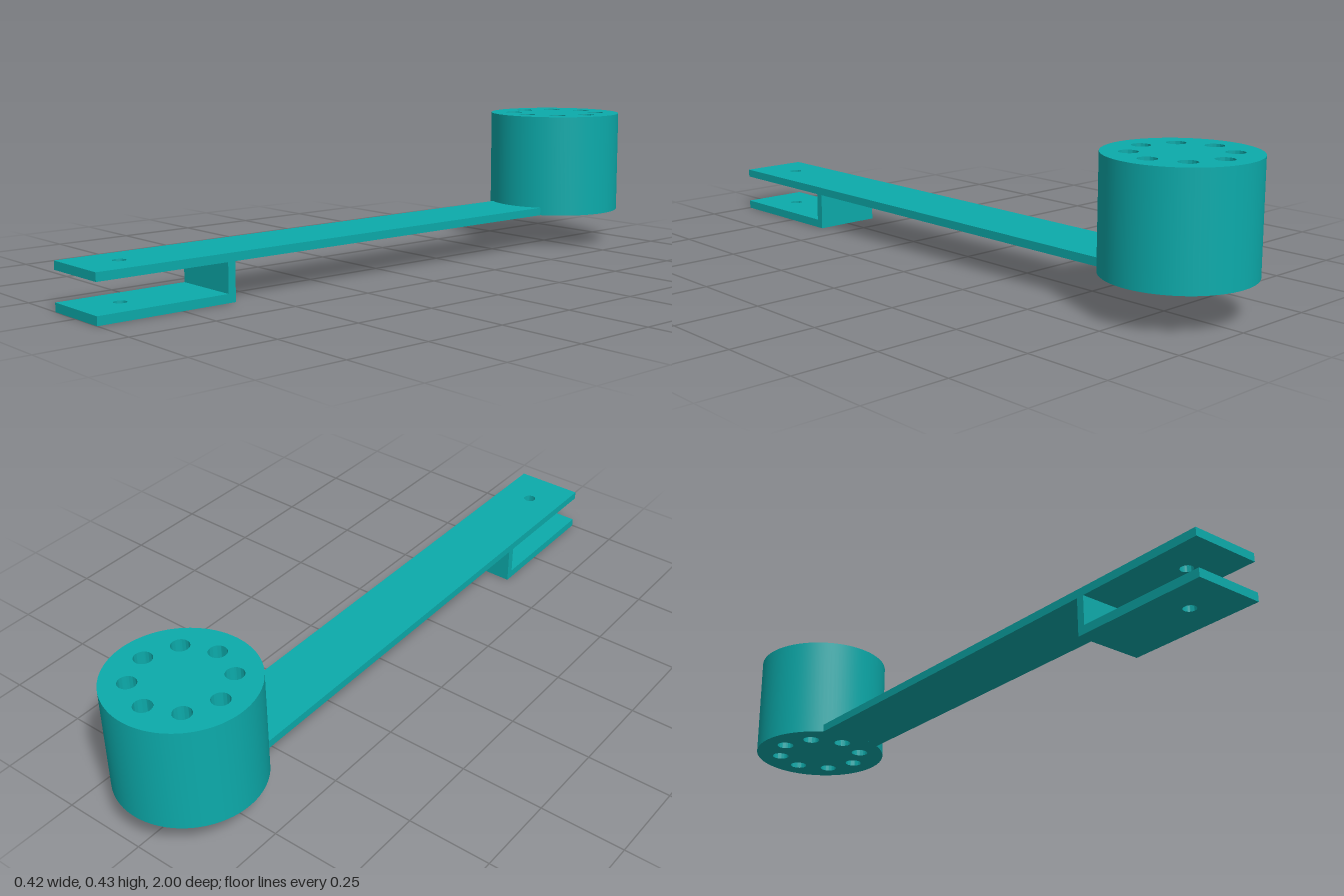
import * as THREE from 'three';
import { toCreasedNormals } from 'three/addons/utils/BufferGeometryUtils.js';

const HALF_W = 0.104, DRUM_R = 0.208, DRUM_Z = -0.792;
const ARM_BOTTOM = 0.11, ARM_TOP = 0.134, DRUM_TOP = 0.425;
const WALL_BACK = 0.585, WALL_FRONT = 0.608, PLATE = 0.025;

export function createModel() {
  const model = new THREE.Group();
  const material = new THREE.MeshStandardMaterial({ color: 0x0cabab });

  const add = (name, geometry) => {
    const mesh = new THREE.Mesh(geometry, material);
    mesh.name = name;
    model.add(mesh);
    return mesh;
  };

  // Outlines are drawn in plan with shape y = -z, then raised from y0 to y1
  const slab = (name, shape, y0, y1, curveSegments) => {
    const geometry = new THREE.ExtrudeGeometry(shape, { depth: y1 - y0, bevelEnabled: false, curveSegments });
    geometry.rotateX(-Math.PI / 2).translate(0, y0, 0);
    return add(name, toCreasedNormals(geometry, 0.6));
  };
  const punch = (shape, x, z, r) =>
    shape.holes.push(new THREE.Path().absarc(x, -z, r, 0, Math.PI * 2, true));

  // Drum with a ring of eight through holes
  const drum = new THREE.Shape().absarc(0, -DRUM_Z, DRUM_R, 0, Math.PI * 2, false);
  for (let i = 0; i < 8; i++) {
    const a = (i * Math.PI) / 4;
    punch(drum, 0.134 * Math.cos(a), DRUM_Z + 0.134 * Math.sin(a), 0.026);
  }
  slab('drum', drum, ARM_BOTTOM, DRUM_TOP, 48);

  // Long arm, its back end curved to meet the drum wall
  const arm = new THREE.Shape();
  arm.moveTo(-HALF_W, -1);
  arm.lineTo(HALF_W, -1);
  arm.absarc(0, -DRUM_Z, DRUM_R, -Math.PI / 3, (-2 * Math.PI) / 3, true);
  arm.closePath();
  punch(arm, 0, 0.872, 0.018);
  slab('arm', arm, ARM_BOTTOM, ARM_TOP, 24);

  // Lower clevis plate with the matching pin hole
  const plate = new THREE.Shape();
  plate.moveTo(-HALF_W, -1);
  plate.lineTo(HALF_W, -1);
  plate.lineTo(HALF_W, -WALL_FRONT);
  plate.lineTo(-HALF_W, -WALL_FRONT);
  plate.closePath();
  punch(plate, 0, 0.872, 0.018);
  slab('lowerPlate', plate, 0, PLATE, 24);

  // Upright wall joining the lower plate to the arm
  const wall = add('bracketWall', new THREE.BoxGeometry(HALF_W * 2, ARM_BOTTOM, WALL_FRONT - WALL_BACK));
  wall.position.set(0, ARM_BOTTOM / 2, (WALL_FRONT + WALL_BACK) / 2);

  return model;
}
